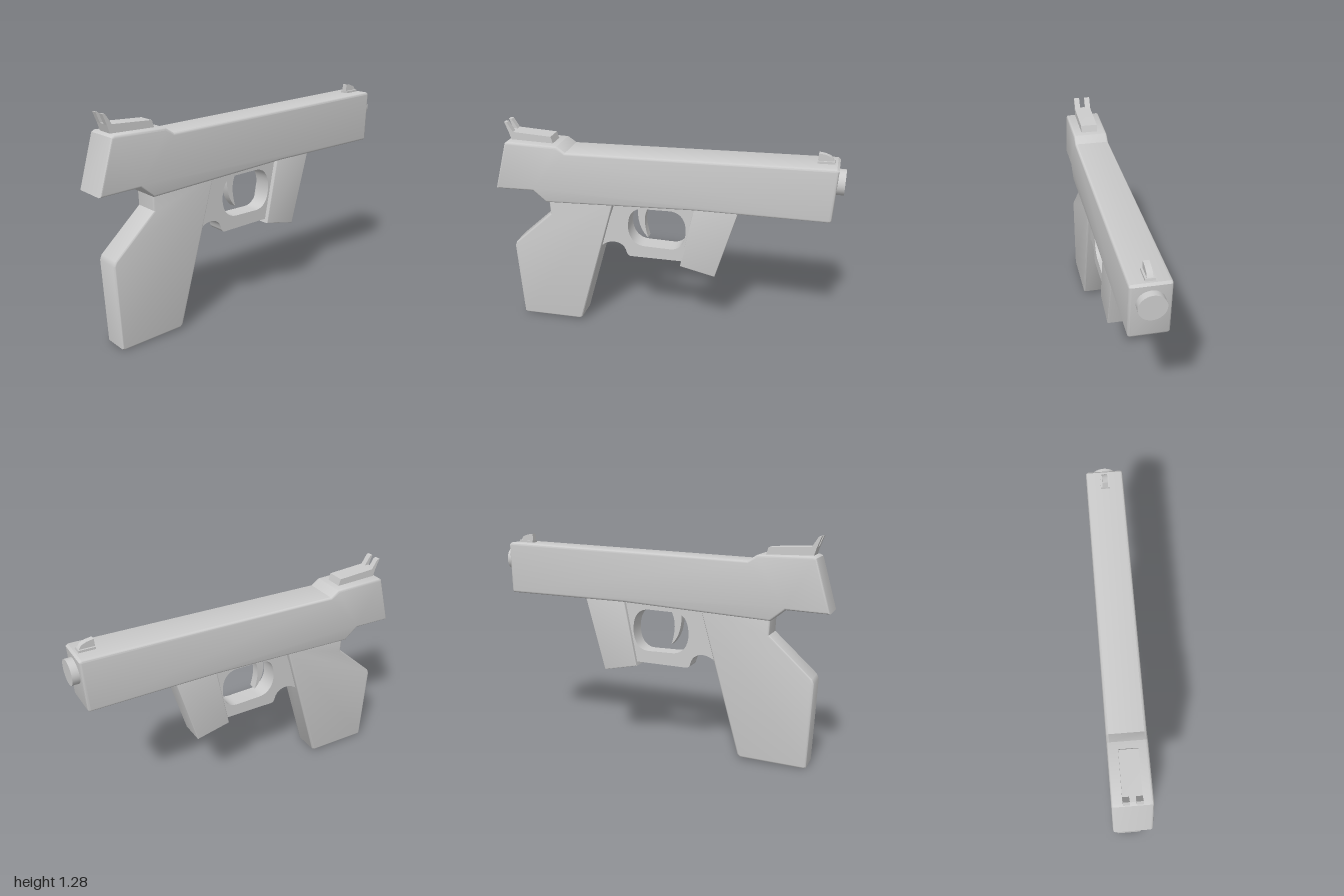
import * as THREE from 'three';
import { toCreasedNormals } from 'three/addons/utils/BufferGeometryUtils.js';

const material = new THREE.MeshStandardMaterial({ color: 0xcccccc });

const outline = (points) => new THREE.Shape(points.map(([z, y]) => new THREE.Vector2(z, y)));

// Extrudes a (z, y) side profile across x, with edges rounded inside the profile.
function slab(name, shape, halfWidth, bevel = 0, x = 0) {
  const depth = 2 * (halfWidth - bevel);
  const geometry = new THREE.ExtrudeGeometry(shape, {
    depth,
    curveSegments: 12,
    bevelEnabled: bevel > 0,
    bevelSize: bevel,
    bevelThickness: bevel,
    bevelOffset: -bevel,
    bevelSegments: 3,
  });
  geometry.translate(0, 0, -depth / 2);
  geometry.rotateY(-Math.PI / 2);
  const mesh = new THREE.Mesh(toCreasedNormals(geometry, 0.6), material);
  mesh.name = name;
  mesh.position.x = x;
  return mesh;
}

export function createModel() {
  const model = new THREE.Group();
  model.name = 'pistol';

  // Upper body, stepped at the rear
  model.add(slab('slide', outline([
    [1, 0.88], [0.765, 0.888], [0.685, 0.823], [-0.2, 0.873], [-0.945, 0.888],
    [-0.953, 0.9], [-0.963, 1.185], [-0.95, 1.195], [0.55, 1.142], [0.6, 1.175],
    [0.9, 1.178], [0.918, 1.168],
  ]), 0.103, 0.013));

  // Rear and front hand grips
  model.add(slab('grip', outline([
    [0.68, 0.85], [0.675, 0.74], [0.918, 0.517], [0.929, 0.49], [0.906, 0.012],
    [0.895, 0.004], [0.527, 0.017], [0.512, 0.03], [0.278, 0.865],
  ]), 0.076, 0.01));
  model.add(slab('foregrip', outline([
    [-0.2, 0.89], [-0.12, 0.49], [-0.328, 0.448], [-0.452, 0.89],
  ]), 0.076, 0.005));

  // Trigger guard with a rounded opening
  const guard = new THREE.Shape();
  guard.moveTo(0.27, 0.87);
  guard.lineTo(0.38, 0.54);
  guard.bezierCurveTo(0.33, 0.605, 0.23, 0.61, 0.212, 0.53);
  guard.quadraticCurveTo(0.207, 0.505, 0.185, 0.505);
  guard.lineTo(-0.15, 0.513);
  guard.lineTo(-0.22, 0.88);
  const opening = new THREE.Path();
  opening.moveTo(0.1, 0.583);
  opening.bezierCurveTo(0.165, 0.583, 0.2, 0.635, 0.2, 0.7);
  opening.bezierCurveTo(0.2, 0.78, 0.17, 0.825, 0.1, 0.825);
  opening.lineTo(-0.05, 0.83);
  opening.bezierCurveTo(-0.11, 0.83, -0.147, 0.79, -0.147, 0.71);
  opening.bezierCurveTo(-0.147, 0.63, -0.11, 0.583, -0.05, 0.583);
  opening.closePath();
  guard.holes.push(opening);
  model.add(slab('triggerGuard', guard, 0.052));

  // Curved trigger
  const trigger = new THREE.Shape();
  trigger.moveTo(0.14, 0.84);
  trigger.bezierCurveTo(0.155, 0.77, 0.14, 0.68, 0.085, 0.63);
  trigger.bezierCurveTo(0.105, 0.7, 0.12, 0.77, 0.075, 0.84);
  model.add(slab('trigger', trigger, 0.025));

  // Rear sight: ramp plus two leaning ears around a notch
  const rearSight = new THREE.Group();
  rearSight.name = 'rearSight';
  rearSight.add(slab('rearSightBase', outline([
    [0.635, 1.165], [0.65, 1.214], [0.88, 1.223], [0.908, 1.223], [0.89, 1.165],
  ]), 0.049));
  for (const side of [-1, 1]) {
    rearSight.add(slab(side > 0 ? 'leftEar' : 'rightEar', outline([
      [0.88, 1.222], [0.915, 1.277], [0.93, 1.279], [0.908, 1.222],
    ]), 0.0165, 0, side * 0.0325));
  }
  model.add(rearSight);

  // Front sight: low base with a tapered blade
  const frontSight = new THREE.Group();
  frontSight.name = 'frontSight';
  frontSight.add(slab('frontSightBase', outline([
    [-0.845, 1.18], [-0.845, 1.204], [-0.935, 1.207], [-0.94, 1.185],
  ]), 0.025));
  frontSight.add(slab('frontSightBlade', outline([
    [-0.845, 1.2], [-0.848, 1.245], [-0.885, 1.24], [-0.915, 1.228], [-0.935, 1.2],
  ]), 0.015));
  model.add(frontSight);

  // Barrel end
  const muzzle = new THREE.Mesh(new THREE.CylinderGeometry(0.07, 0.07, 0.08, 32), material);
  muzzle.name = 'muzzle';
  muzzle.rotation.x = Math.PI / 2;
  muzzle.position.set(0, 1.09, -0.96);
  model.add(muzzle);

  return model;
}
